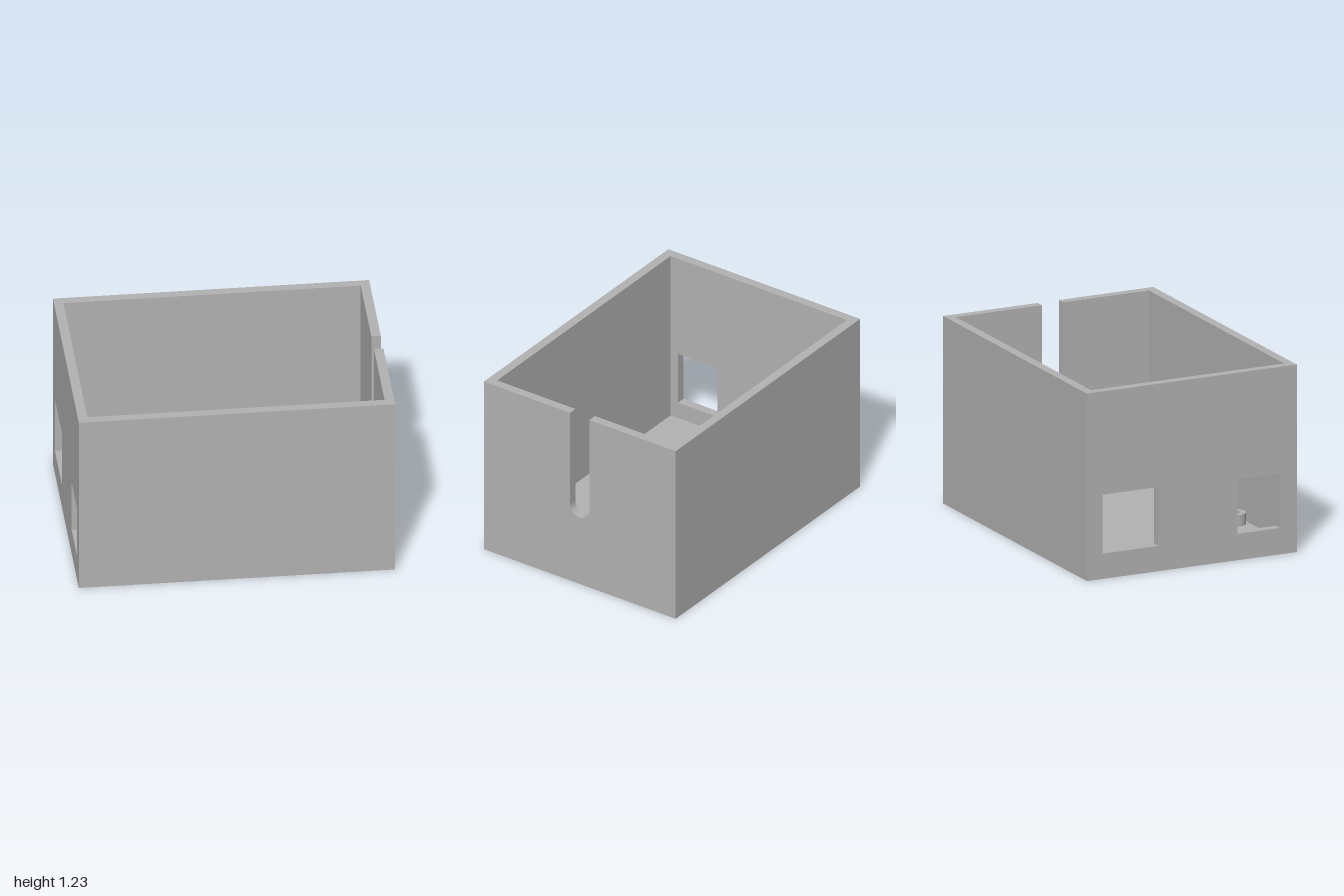
import * as THREE from 'three';

const H = 1.225;   // overall height
const D = 0.74;    // half depth
const T = 0.06;    // wall and floor thickness

export function createModel() {
  const group = new THREE.Group();
  const grey = new THREE.MeshStandardMaterial({ color: 0xb2b2b2 });
  grey.name = 'grey plastic';

  const add = (name, geometry, x, y, z) => {
    const mesh = new THREE.Mesh(geometry, grey);
    mesh.name = name;
    mesh.position.set(x, y, z);
    group.add(mesh);
    return mesh;
  };
  const extrude = (shape, depth) =>
    new THREE.ExtrudeGeometry(shape, { depth, bevelEnabled: false, curveSegments: 24 });

  // Floor and the two long walls
  add('floor', new THREE.BoxGeometry(2 - 2 * T, T, 2 * (D - T)), 0, T / 2, 0);
  for (const [name, side] of [['frontWall', 1], ['backWall', -1]]) {
    add(name, new THREE.BoxGeometry(2 - 2 * T, H, T), 0, H / 2, side * (D - T / 2));
  }

  // End wall with a round-bottomed cable slot open at the top (shape x becomes z)
  const r = 0.075, slotY = 0.56;
  const slotted = new THREE.Shape();
  slotted.moveTo(-D, 0);
  slotted.lineTo(D, 0);
  slotted.lineTo(D, H);
  slotted.lineTo(r, H);
  slotted.lineTo(r, slotY);
  slotted.absarc(0, slotY, r, 0, Math.PI, true);
  slotted.lineTo(-r, H);
  slotted.lineTo(-D, H);
  add('slottedEndWall', extrude(slotted, T), 1, 0, 0).rotation.y = -Math.PI / 2;

  // Opposite end wall with two rectangular port openings
  const rect = (path, z0, y0, z1, y1) => {
    path.moveTo(z0, y0);
    path.lineTo(z1, y0);
    path.lineTo(z1, y1);
    path.lineTo(z0, y1);
    path.closePath();
    return path;
  };
  const ported = rect(new THREE.Shape(), -D, 0, D, H);
  ported.holes.push(
    rect(new THREE.Path(), -0.63, 0.165, -0.235, 0.55),
    rect(new THREE.Path(), 0.32, 0.172, 0.623, 0.53),
  );
  add('portEndWall', extrude(ported, T), -1 + T, 0, 0).rotation.y = -Math.PI / 2;

  // Hollow screw posts standing on the floor
  const ring = new THREE.Shape().absarc(0, 0, 0.073, 0, Math.PI * 2);
  ring.holes.push(new THREE.Path().absarc(0, 0, 0.034, 0, Math.PI * 2));
  const post = extrude(ring, 0.075).rotateX(-Math.PI / 2);
  const posts = [[-0.4, -0.595], [0.853, -0.222], [0.853, 0.465], [-0.43, 0.59]];
  posts.forEach(([x, z], i) => add(`screwPost${i + 1}`, post, x, T, z));

  return group;
}
